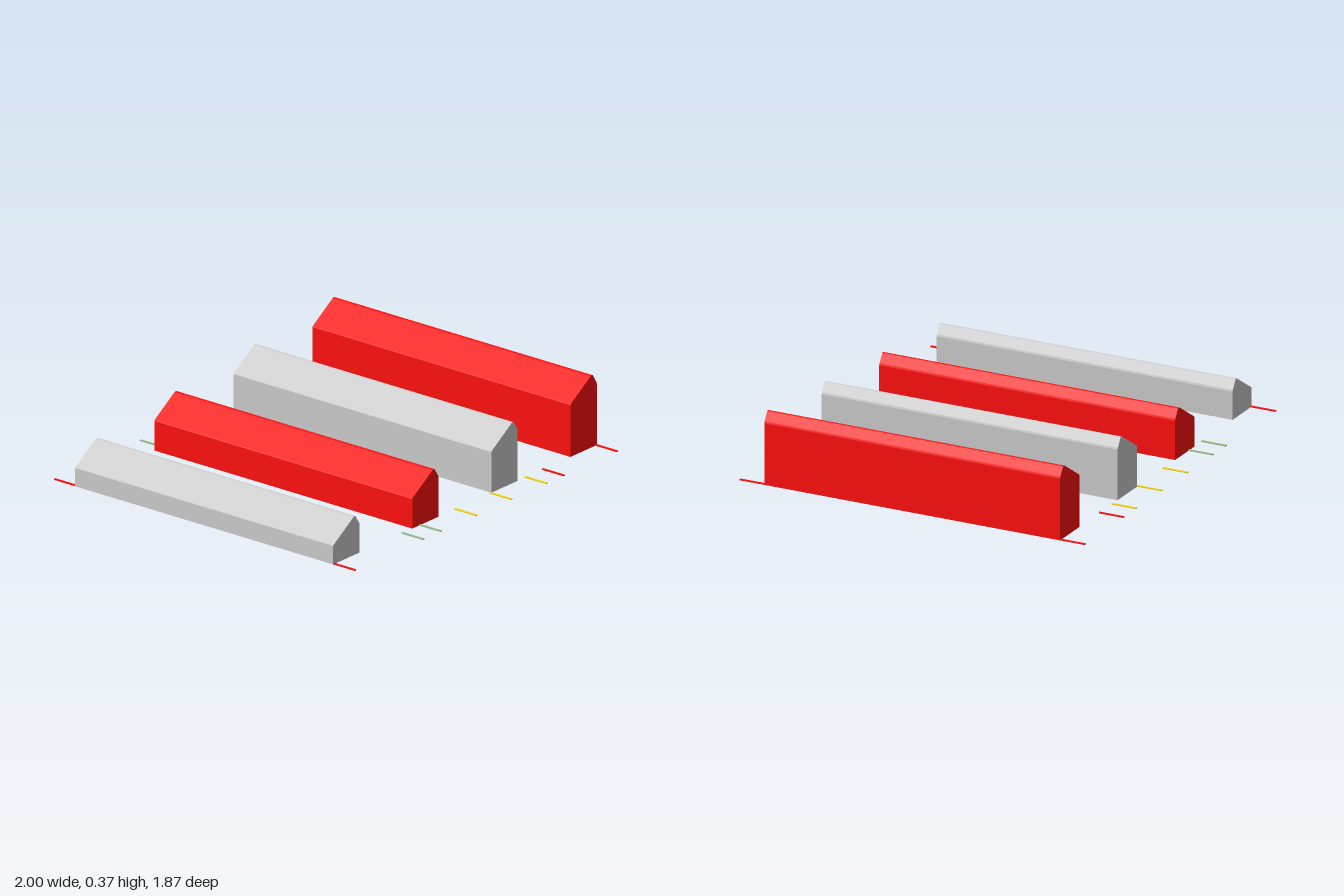
import * as THREE from 'three';

const material = (color) => new THREE.MeshStandardMaterial({ color, flatShading: true });

export function createModel() {
  const model = new THREE.Group();
  const grey = material(0xcccccc);
  const red = material(0xff0f0f);
  const green = material(0x9cc088);
  const yellow = material(0xf5d818);

  // Long blocks with a lopsided ridge, each taller than the last
  const length = 1.6;
  for (let i = 0; i < 4; i++) {
    const lift = i * 0.0575;
    const profile = new THREE.Shape([
      [0, 0], [0.2, 0], [0.2, 0.145 + lift], [0.197, 0.154 + lift],
      [0.169, 0.198 + lift], [0.162, 0.2 + lift], [0.153, 0.197 + lift],
      [0.003, 0.1 + lift], [0, 0.095 + lift],
    ].map(([x, y]) => new THREE.Vector2(x, y)));
    const geometry = new THREE.ExtrudeGeometry(profile, { depth: length, bevelEnabled: false });
    const block = new THREE.Mesh(geometry, i % 2 ? red : grey);
    block.name = `ridgedBlock${i + 1}`;
    block.position.set(-1 + i * 0.6, 0, -length / 2);
    model.add(block);
  }

  // Thin ground strips beyond both ends of the blocks
  const strips = [
    [-0.994, red], [-0.477, green], [-0.343, green], [-0.076, yellow],
    [0.192, yellow], [0.459, yellow], [0.59, red], [0.994, red],
  ];
  const stripGeometry = new THREE.BoxGeometry(0.012, 0.005, 0.133);
  for (const end of [-1, 1]) {
    strips.forEach(([x, color], i) => {
      const strip = new THREE.Mesh(stripGeometry, color);
      strip.name = `${end > 0 ? 'front' : 'back'}Strip${i + 1}`;
      strip.position.set(x, 0.0025, end * 0.8665);
      model.add(strip);
    });
  }
  return model;
}
